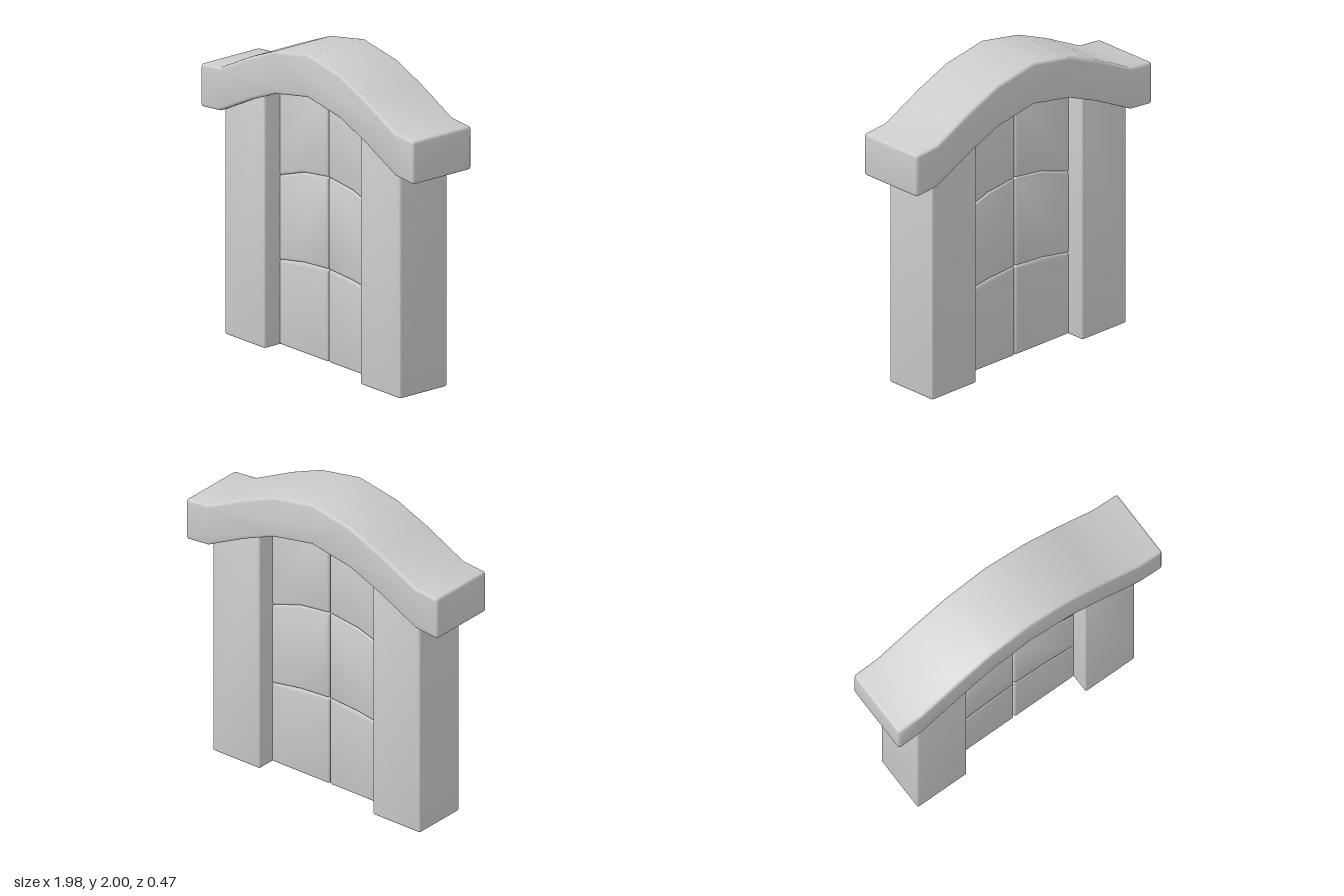
import * as THREE from 'three';
import { toCreasedNormals } from 'three/addons/utils/BufferGeometryUtils.js';

const material = new THREE.MeshStandardMaterial({ color: 0xcccccc });

// Outline with its sharp corners rounded, gentle bends kept as they are
function roundedOutline(points, r) {
  const pts = points.map(([x, y]) => new THREE.Vector2(x, y));
  const out = [];
  pts.forEach((p, i) => {
    const a = pts[(i + pts.length - 1) % pts.length].clone().sub(p).normalize();
    const b = pts[(i + 1) % pts.length].clone().sub(p).normalize();
    if (a.dot(b) < -0.7) { out.push(p); return; }
    const curve = new THREE.QuadraticBezierCurve(
      p.clone().addScaledVector(a, r), p, p.clone().addScaledVector(b, r));
    out.push(...curve.getPoints(3));
  });
  return new THREE.Shape(out);
}

// Bevelled slab of the given total depth, centred on z = 0
function slab(name, points, depth, bevel) {
  const geometry = new THREE.ExtrudeGeometry(roundedOutline(points, bevel), {
    depth: depth - 2 * bevel,
    bevelThickness: bevel, bevelSize: bevel, bevelOffset: -bevel, bevelSegments: 3,
  });
  geometry.translate(0, 0, bevel - depth / 2);
  const mesh = new THREE.Mesh(toCreasedNormals(geometry, 0.8), material);
  mesh.name = name;
  return mesh;
}

export function createModel() {
  const model = new THREE.Group();
  model.name = 'archedDoor';

  // Arched lintel beam: half curve mirrored, constant height
  const half = [[0.3, 1.945], [0.53, 1.85], [0.815, 1.708], [0.988, 1.692]];
  const top = [...half.map(([x, y]) => [-x, y]).reverse(), [0, 2], ...half];
  const bottom = top.map(([x, y]) => [x, y - 0.275]);
  model.add(slab('lintelBeam', [...bottom, ...top.reverse()], 0.466, 0.018));

  // Door seams from the floor to the arch, as heights at the centre, middle and post
  const seams = [[0, 0, 0], [0.592, 0.577, 0.538], [1.18, 1.152, 1.075], [1.77, 1.74, 1.64]];
  const xs = [0.001, 0.225, 0.46];

  for (const side of ['left', 'right']) {
    const wing = new THREE.Group();
    wing.name = side + 'Half';
    // Post with a sloped top hidden in the beam
    wing.add(slab(side + 'Post',
      [[0.445, 0], [0.815, 0], [0.815, 1.5], [0.445, 1.7]], 0.378, 0.014));
    // Three stacked door panels
    for (let i = 0; i < 3; i++) {
      const low = xs.map((x, k) => [x, seams[i][k]]);
      const high = xs.map((x, k) => [x, seams[i + 1][k]]).reverse();
      wing.add(slab(side + 'DoorPanel' + (i + 1), [...low, ...high], 0.13, 0.016));
    }
    if (side === 'right') wing.rotation.y = Math.PI;
    model.add(wing);
  }
  return model;
}
